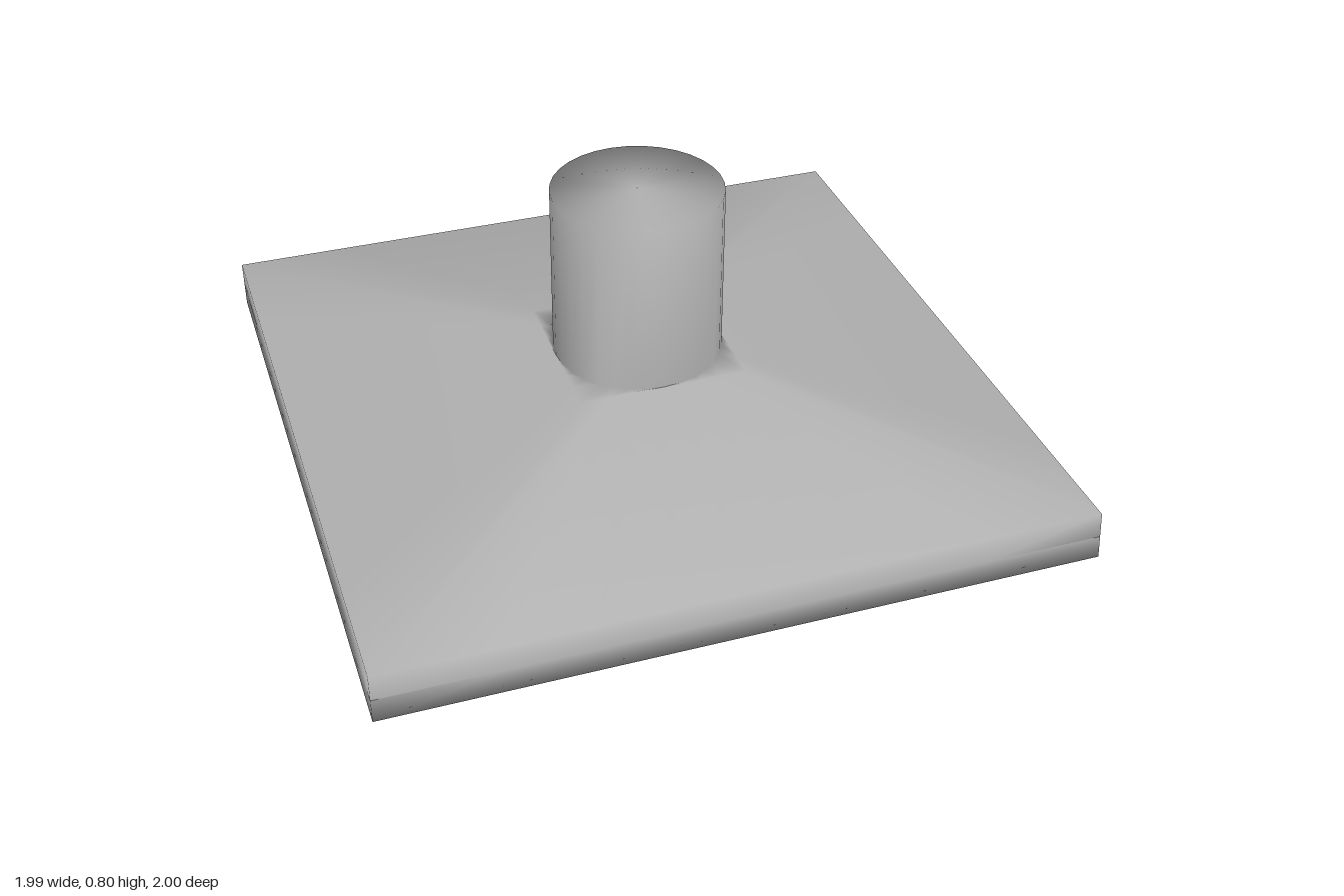
import * as THREE from 'three';

const SIDES = 32;

// Closed ring of points, counter-clockwise from above
function circle(radius, y, cx = 0, cz = 0) {
  return Array.from({ length: SIDES }, (_, i) => {
    const a = (i / SIDES) * Math.PI * 2;
    return [cx + radius * Math.sin(a), y, cz + radius * Math.cos(a)];
  });
}

// Rectangular ring with points exactly on its corners
function rect(hx, hz, y, cx = 0, cz = 0) {
  return circle(1, y).map(([s, , c]) => {
    const k = 1 / Math.max(Math.abs(s), Math.abs(c));
    return [cx + hx * k * s, y, cz + hz * k * c];
  });
}

// Smooth skin through a list of rings
function loft(rings) {
  const index = [];
  for (let r = 0; r < rings.length - 1; r++) {
    for (let i = 0; i < SIDES; i++) {
      const j = (i + 1) % SIDES;
      const a = r * SIDES + i, b = r * SIDES + j;
      index.push(a, b, b + SIDES, a, b + SIDES, a + SIDES);
    }
  }
  const g = new THREE.BufferGeometry();
  g.setAttribute('position', new THREE.Float32BufferAttribute(rings.flat(2), 3));
  g.setIndex(index);
  g.computeVertexNormals();
  return g;
}

export function createModel() {
  const group = new THREE.Group();
  const grey = new THREE.MeshStandardMaterial({ color: 0xb0b0b0 });
  grey.name = 'grey';
  const add = (name, geometry, x = 0, y = 0, z = 0) => {
    const mesh = new THREE.Mesh(geometry, grey);
    mesh.name = name;
    mesh.position.set(x, y, z);
    group.add(mesh);
  };

  const neckR = 0.243, neckX = 0.003, neckZ = 0.028, shoulder = 0.29, top = 0.795;
  const split = 0.064;
  const panelX = 0.765, panelZ = 0.75, panelCz = -0.027;
  // The rim leans back very slightly towards its upper edge
  const rim = (y) => rect(0.995, 0.992, y, 0, 0.007 - 0.11 * y);

  // Upper cover: rim band, four-sided slope, flat square shoulder and round neck
  add('cover', loft([
    rim(split),
    rim(0.135),
    rect(neckR, neckR, shoulder, neckX, neckZ),
    circle(neckR, shoulder, neckX, neckZ),
    circle(neckR, top, neckX, neckZ),
    circle(0.001, top, neckX, neckZ),
  ]));

  // Lower frame: recess walls, underside border and outer band
  add('frame', loft([
    rect(panelX, panelZ, split, 0, panelCz),
    rect(panelX, panelZ, 0, 0, panelCz),
    rim(0),
    rim(split),
  ]));

  // Recessed panel with a five by five grid of round blind holes
  const panel = new THREE.Shape();
  panel.moveTo(-panelX, -panelZ);
  panel.lineTo(panelX, -panelZ);
  panel.lineTo(panelX, panelZ);
  panel.lineTo(-panelX, panelZ);
  const holeR = 0.076, holeDepth = 0.04;
  const cup = loft([circle(0.001, holeDepth), circle(holeR, holeDepth), circle(holeR, 0)]);
  for (let i = -2; i <= 2; i++) {
    for (let j = -2; j <= 2; j++) {
      const x = i * 0.286 - 0.008, z = j * 0.284;
      const hole = new THREE.Path();
      hole.absarc(x, z, holeR, 0, Math.PI * 2, true);
      panel.holes.push(hole);
      add('hole', cup, x, split, z + panelCz);
    }
  }
  const plate = new THREE.ShapeGeometry(panel, SIDES / 2);
  plate.rotateX(Math.PI / 2);
  add('holePanel', plate, 0, split, panelCz);

  return group;
}
